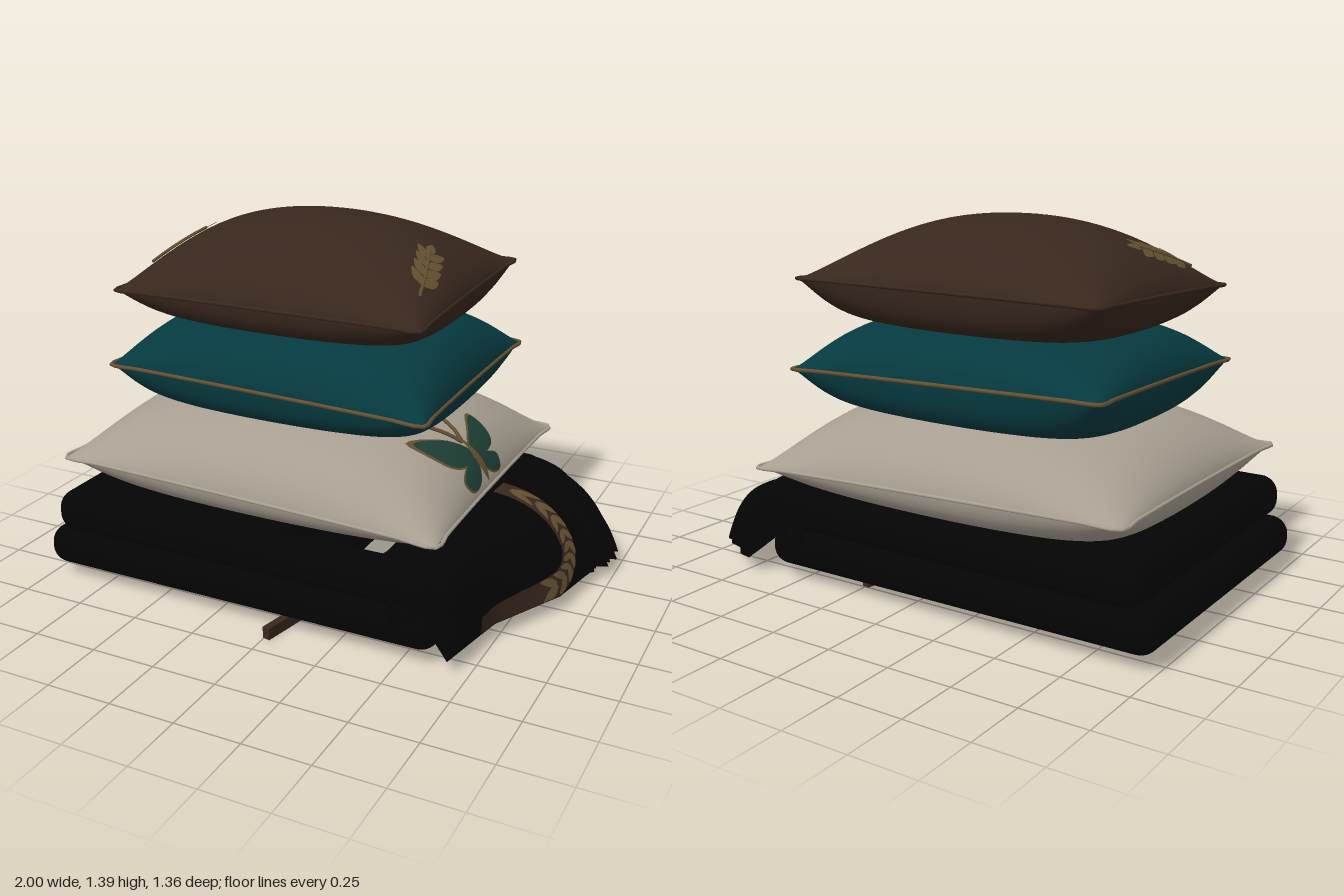
import * as THREE from 'three';
import { RoundedBoxGeometry } from 'three/addons/geometries/RoundedBoxGeometry.js';

const mat = (name, color) =>
  Object.assign(new THREE.MeshStandardMaterial({ color, side: THREE.DoubleSide }), { name });

// Regular grid of points from fn(i/nu, j/nv)
function gridGeometry(fn, nu, nv, flip = false) {
  const pos = [], idx = [];
  for (let j = 0; j <= nv; j++) for (let i = 0; i <= nu; i++) pos.push(...fn(i / nu, j / nv));
  for (let j = 0; j < nv; j++) for (let i = 0; i < nu; i++) {
    const a = j * (nu + 1) + i, b = a + 1, c = a + nu + 1, d = c + 1;
    idx.push(...(flip ? [a, b, c, b, d, c] : [a, c, b, b, c, d]));
  }
  const g = new THREE.BufferGeometry();
  g.setAttribute('position', new THREE.Float32BufferAttribute(pos, 3));
  g.setIndex(idx);
  g.computeVertexNormals();
  return g;
}

// Thin patch laid on a surface: rings from the outline to its middle
function patchGeometry(outline, surface, grow = 1) {
  const curve = new THREE.CatmullRomCurve3(outline.map(([x, y]) => new THREE.Vector3(x, y, 0)), true);
  const pts = curve.getPoints(32);
  const c = outline.reduce((s, p) => [s[0] + p[0] / outline.length, s[1] + p[1] / outline.length], [0, 0]);
  return gridGeometry((u, r) => {
    const p = pts[Math.round(u * 32)], k = Math.max(r, 0.001) * grow;
    return surface(c[0] + (p.x - c[0]) * k, c[1] + (p.y - c[1]) * k);
  }, 32, 5);
}

// Leaf outline pointing along the angle
function leaf(x, y, angle, length, width) {
  const c = Math.cos(angle), s = Math.sin(angle);
  return [[0, 0], [0.35, 1], [0.7, 0.75], [1, 0], [0.7, -0.75], [0.35, -1]].map(([t, w]) =>
    [x + c * t * length - s * w * width, y + s * t * length + c * w * width]);
}

// Point on a pillow, u and v from -1 to 1
function pillowPoint(p, u, v, top = true) {
  const f = Math.pow(Math.max(0, (1 - u * u) * (1 - v * v)), p.swell);
  const h = 1 - Math.pow(1 - f, top ? p.topFlat : p.bottomFlat);
  const rim = p.rim + p.tiltX * u + p.tiltZ * v;
  return [
    p.x + p.a * u * (1 - 0.032 * (1 - v * v) - 0.02 * v * v * u * u),
    rim + h * ((top ? p.top : p.bottom) - rim),
    p.z + p.b * v * (1 - 0.032 * (1 - u * u) - 0.02 * u * u * v * v),
  ];
}

function makePillow(p, cloth, piping) {
  const g = new THREE.Group();
  g.name = p.name;
  const spread = t => Math.sin((t - 0.5) * Math.PI);
  for (const top of [true, false]) {
    const m = new THREE.Mesh(gridGeometry((i, j) => pillowPoint(p, spread(i), spread(j), top), 44, 44, !top), cloth);
    m.name = top ? 'pillowTop' : 'pillowUnderside';
    g.add(m);
  }
  // Piping around the seam
  const rim = [], n = 10;
  const corners = [[-1, -1], [1, -1], [1, 1], [-1, 1]];
  corners.forEach(([u, v], k) => {
    const [u2, v2] = corners[(k + 1) % 4];
    for (let i = 0; i < n; i++) {
      const t = i / n;
      rim.push(new THREE.Vector3(...pillowPoint(p, u + (u2 - u) * t, v + (v2 - v) * t)));
    }
  });
  const tube = new THREE.Mesh(
    new THREE.TubeGeometry(new THREE.CatmullRomCurve3(rim, true), 160, p.pipe, 8, true), piping);
  tube.name = 'piping';
  g.add(tube);
  return g;
}

// Draped end of the blanket: s runs down the fall, z across it
const hemTable = [[-0.62, 0.74], [-0.5, 0.95], [-0.4, 0.983], [-0.2, 0.93], [0, 0.89], [0.3, 0.74], [0.62, 0.68]];
function hemX(z) {
  for (let i = 1; i < hemTable.length; i++) {
    const [z0, x0] = hemTable[i - 1], [z1, x1] = hemTable[i];
    if (z <= z1) return x0 + (x1 - x0) * (z - z0) / (z1 - z0);
  }
  return 0.68;
}
function drapePoint(s, z, lift = 0) {
  const fringe = THREE.MathUtils.smoothstep(-z, 0.2, 0.3) * s;
  const e = hemX(z) + fringe * 0.014 * Math.sin(z * 173);
  const b = (p, q, r, t) => p * (1 - s) ** 3 + 3 * q * s * (1 - s) ** 2 + 3 * r * s * s * (1 - s) + t * s ** 3;
  const ends = 0.04 * THREE.MathUtils.smoothstep(Math.abs(z), 0.55, 0.62) * (1 - s);
  const fold = fringe * 0.009 * (Math.sin(z * 85 + 3 * s) + Math.sin(z * 131 - 2 * s));
  return [b(0.4, 0.7, e * 0.6 + 0.3, e) + lift + fold, b(0.355, 0.385, 0.31, 0.055) + lift + fold * (1 - s) - ends, z];
}

export function createModel() {
  const brown = mat('brown cloth', 0x38271d), teal = mat('teal cloth', 0x063a40);
  const cream = mat('cream cloth', 0xa89f91), black = mat('black cloth', 0x040404);
  const gold = mat('gold thread', 0x655131), green = mat('green thread', 0x1e3f35);
  const model = new THREE.Group();
  const add = (parent, name, geometry, material) => {
    const m = new THREE.Mesh(geometry, material);
    m.name = name;
    parent.add(m);
    return m;
  };

  // Folded blanket: two layers around an open pocket
  const blanket = new THREE.Group();
  blanket.name = 'blanket';
  model.add(blanket);
  const fold = (x0, x1, y0, y1, z0, z1) =>
    add(blanket, 'blanketFold', new RoundedBoxGeometry(x1 - x0, y1 - y0, z1 - z0, 5, 0.07), black)
      .position.set((x0 + x1) / 2, (y0 + y1) / 2, (z0 + z1) / 2);
  [[0.05, 0.205, -1, 0.1], [0.2, 0.362, -0.95, 0]].forEach(([y0, y1, x0, x1]) => {
    fold(x0, x1, y0, y1, -0.62, 0.62);
    fold(-0.4, 0.63, y0, y1, 0.47, 0.62);
    fold(-0.4, 0.63, y0, y1, -0.62, -0.18);
  });
  // Rolled inner edges
  for (const z of [0.61, -0.61]) {
    const pts = [];
    for (let i = 0; i <= 24; i++) {
      const r = 0.015 + 0.05 * i / 24, a = i / 24 * Math.PI * 3.5;
      pts.push(new THREE.Vector3(0.52 + r * Math.cos(a), 0.21 + r * Math.sin(a), z));
    }
    add(blanket, 'rolledEdge', new THREE.TubeGeometry(new THREE.CatmullRomCurve3(pts), 60, 0.012, 6), black);
  }
  add(blanket, 'fringedDrape', gridGeometry((s, t) => drapePoint(s, 0.61 - 1.23 * t), 24, 170, true), black);
  // Cloth closing the drape's front and back ends
  for (const z of [0.61, -0.62])
    add(blanket, 'drapeEnd', gridGeometry((s, t) => {
      const p = drapePoint(s, z);
      return [0.55 + (p[0] - 0.55) * t, 0.2 + (p[1] - 0.2) * t, z - Math.sign(z) * 0.03 * (1 - t)];
    }, 24, 2, z < 0), black);

  // Embroidered brown band across the drape
  const path = new THREE.CatmullRomCurve3([[0.2, -0.18], [0.5, -0.165], [0.7, -0.15], [0.83, -0.125], [0.91, -0.06], [0.94, 0.05], [0.945, 0.2], [0.955, 0.4]]
    .map(([s, z]) => new THREE.Vector3(s, z, 0)));
  const onBand = (t, w) => {
    const p = path.getPoint(t), d = path.getTangent(t);
    return drapePoint(Math.min(1, p.x - d.y * w * 1.6), p.y + d.x * w, 0.006);
  };
  add(blanket, 'brownBand', gridGeometry((t, w) => onBand(t, (w - 0.5) * (0.1 - 0.03 * t)), 50, 6), brown);
  for (let i = 0; i < 9; i++) {
    const t = 0.03 + i * 0.08;
    for (const side of [-1, 1])
      add(blanket, 'bandLeaf', patchGeometry(leaf(t, side * 0.004, side * 0.35, 0.09, 0.016),
        (a, b) => onBand(a, b).map((c, k) => c + (k < 2 ? 0.004 : 0))), gold);
  }
  // Brown hem under the blanket
  const hem = add(blanket, 'lowerHem', new THREE.BoxGeometry(0.03, 0.045, 1.19), brown);
  hem.position.set(0.13, 0.0225, 0.085);
  hem.rotation.y = Math.atan2(-0.24, 1.17);

  // Three stacked pillows
  const creamSpec = { name: 'creamPillow', x: -0.155, z: -0.06, a: 0.78, b: 0.63, rim: 0.475, top: 0.705, bottom: 0.358,
    tiltX: -0.025, tiltZ: -0.005, swell: 0.72, topFlat: 2, bottomFlat: 4.5, pipe: 0.007 };
  const tealSpec = { name: 'tealPillow', x: -0.15, z: -0.095, a: 0.655, b: 0.51, rim: 0.835, top: 1.01, bottom: 0.68,
    tiltX: -0.018, tiltZ: -0.012, swell: 0.68, topFlat: 2.7, bottomFlat: 5, pipe: 0.0075 };
  const brownSpec = { name: 'brownPillow', x: -0.16, z: -0.11, a: 0.63, b: 0.49, rim: 1.145, top: 1.39, bottom: 1.0,
    tiltX: 0, tiltZ: -0.02, swell: 0.65, topFlat: 1.12, bottomFlat: 4, pipe: 0.007 };
  const creamPillow = makePillow(creamSpec, cream, cream);
  const brownPillow = makePillow(brownSpec, brown, brown);
  model.add(creamPillow, makePillow(tealSpec, teal, gold), brownPillow);

  // Butterfly on the cream pillow's left slope, drawn in z and height
  const onSlope = lift => (z, y) => {
    const v = (z - creamSpec.z) / creamSpec.b;
    let lo = 0.3, hi = 1;
    for (let i = 0; i < 24; i++) {
      const mid = (lo + hi) / 2;
      if (pillowPoint(creamSpec, mid, v)[1] > y) lo = mid; else hi = mid;
    }
    const p = pillowPoint(creamSpec, lo, v);
    return [p[0] + lift, p[1] + lift, z];
  };
  const wings = [
    [[0.04, 0.585], [0.1, 0.63], [0.235, 0.645], [0.215, 0.59], [0.15, 0.56], [0.05, 0.565]],
    [[0.045, 0.56], [0.14, 0.55], [0.195, 0.52], [0.17, 0.485], [0.1, 0.485], [0.05, 0.53]],
    [[0.03, 0.585], [-0.05, 0.62], [-0.165, 0.638], [-0.145, 0.575], [-0.08, 0.555], [0.02, 0.565]],
    [[0.025, 0.56], [-0.06, 0.55], [-0.115, 0.525], [-0.1, 0.483], [-0.04, 0.485], [0.02, 0.53]],
  ];
  for (const w of wings) {
    add(creamPillow, 'wingEdge', patchGeometry(w, onSlope(0.006), 1.1), gold);
    add(creamPillow, 'wing', patchGeometry(w, onSlope(0.009)), green);
  }
  add(creamPillow, 'butterflyBody', patchGeometry(leaf(0.035, 0.475, Math.PI / 2, 0.15, 0.02), onSlope(0.012)), gold);
  for (const z of [0.08, -0.025]) {
    const pts = [[0.035, 0.61], [(z + 0.03) / 2, 0.64], [z, 0.665]].map(q => new THREE.Vector3(...onSlope(0.008)(...q)));
    add(creamPillow, 'antenna', new THREE.TubeGeometry(new THREE.CatmullRomCurve3(pts), 10, 0.007, 6), gold);
  }

  // Wheat sprigs on the brown pillow, mirrored
  for (const side of [-1, 1]) {
    const onTop = (x, z) => {
      const p = pillowPoint(brownSpec, side * x / brownSpec.a, (z - brownSpec.z) / brownSpec.b);
      return [p[0] + side * 0.004, p[1] + 0.007, p[2]];
    };
    const sprig = t => [0.56 - 0.05 * t - 0.025 * t * t, 0.22 - 0.27 * t];
    const stem = [0, 0.25, 0.5, 0.75, 1].map(t => new THREE.Vector3(...onTop(...sprig(t))));
    add(brownPillow, 'wheatStem', new THREE.TubeGeometry(new THREE.CatmullRomCurve3(stem), 20, 0.006, 5), gold);
    for (let i = 0; i < 4; i++)
      for (const a of [-0.65, 0.5])
        add(brownPillow, 'wheatGrain',
          patchGeometry(leaf(...sprig(0.2 + i * 0.2), -Math.PI / 2 - 0.2 + a, 0.09, 0.02), onTop), gold);
    add(brownPillow, 'wheatTip', patchGeometry(leaf(...sprig(0.95), -Math.PI / 2 - 0.25, 0.075, 0.018), onTop), gold);
  }
  return model;
}
